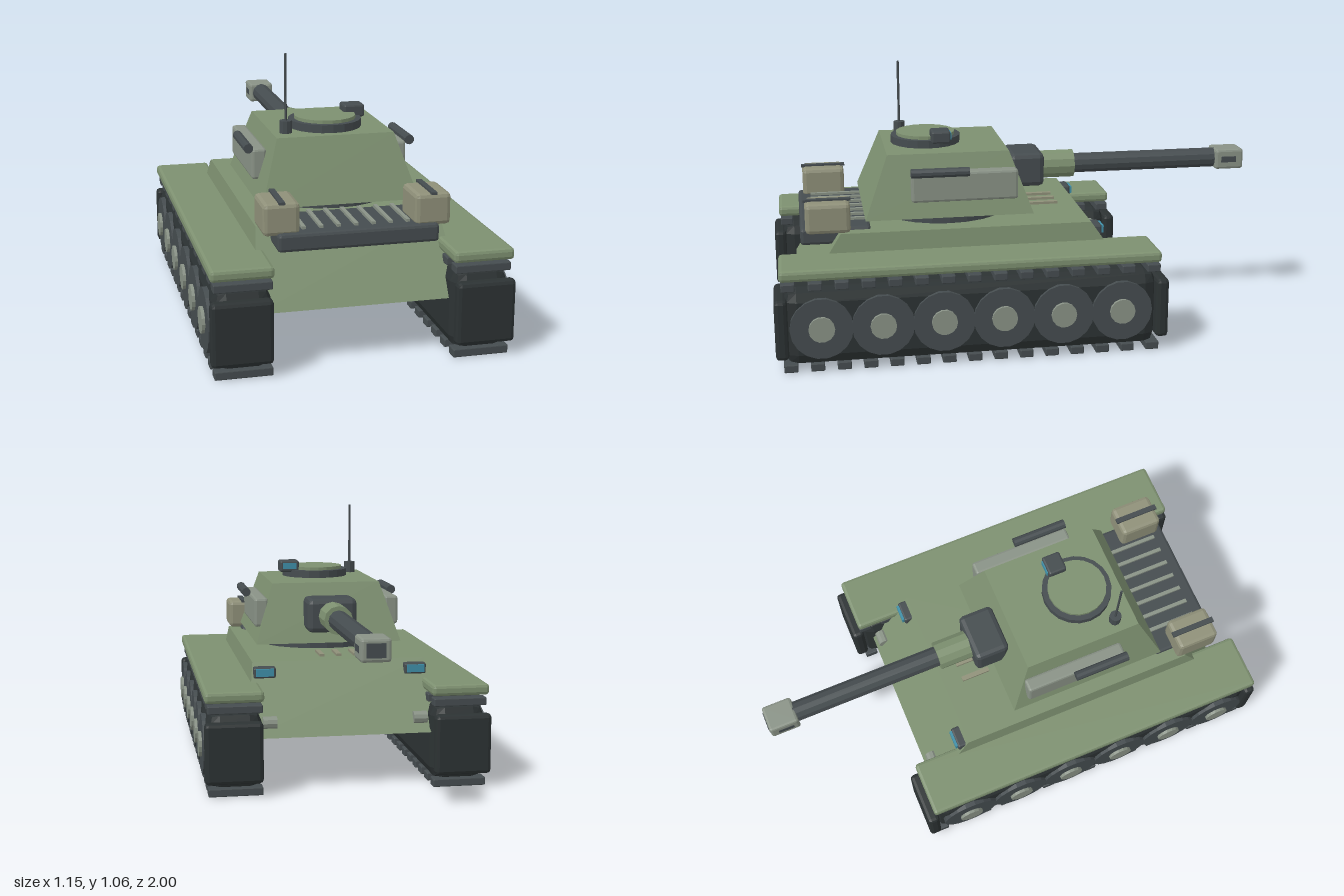
import * as THREE from 'three';
import { RoundedBoxGeometry } from 'three/addons/geometries/RoundedBoxGeometry.js';

const paint = (color) => new THREE.MeshStandardMaterial({ color, flatShading: true });

export function createModel() {
  const model = new THREE.Group();
  const green = paint(0x7d9070), dark = paint(0x454c4f), rubber = paint(0x2c3233);
  const grey = paint(0x899286), beige = paint(0x8f9079), glass = paint(0x3f8fa8);

  const add = (name, geometry, material, x, y, z, parent = model) => {
    const mesh = new THREE.Mesh(geometry, material);
    mesh.name = name;
    mesh.position.set(x, y, z);
    parent.add(mesh);
    return mesh;
  };
  // Box with chamfered edges, c = chamfer size
  const block = (w, h, d, c) => new RoundedBoxGeometry(w, h, d, 1, c);
  const rod = (r, length, sides, axis = 'y') => {
    const g = new THREE.CylinderGeometry(r, r, length, sides);
    if (axis === 'x') g.rotateZ(Math.PI / 2);
    if (axis === 'z') g.rotateX(Math.PI / 2);
    return g;
  };
  // Box whose top and bottom have their own half width and z range
  const frustum = (bottom, top) => {
    const g = new THREE.BoxGeometry(1, 1, 1);
    const p = g.attributes.position;
    for (let i = 0; i < p.count; i++) {
      const s = p.getY(i) > 0 ? top : bottom;
      p.setXYZ(i, Math.sign(p.getX(i)) * s.x, s.y, p.getZ(i) > 0 ? s.z1 : s.z0);
    }
    g.computeVertexNormals();
    return g;
  };

  // Hull
  add('hull', frustum({ x: 0.39, y: 0.215, z0: -0.45, z1: 0.905 },
    { x: 0.35, y: 0.485, z0: -0.265, z1: 0.73 }), green, 0, 0, 0);
  add('engineDeck', block(0.6, 0.068, 0.275, 0.012), dark, 0, 0.463, 0.7475);
  for (let i = -3; i <= 3; i++) {
    add('engineGrille', new THREE.BoxGeometry(0.015, 0.016, 0.21), grey, i * 0.065, 0.499, 0.73);
  }
  for (let i = 0; i < 3; i++) {
    add('deckVent', new THREE.BoxGeometry(0.02, 0.014, 0.12), beige, -0.085 + i * 0.07, 0.488, -0.125);
  }

  // Running gear and fittings, mirrored on both sides
  for (const s of [-1, 1]) {
    const track = new THREE.Group();
    track.name = s > 0 ? 'leftTrack' : 'rightTrack';
    model.add(track);
    const x = s * 0.4425;
    add('trackCore', block(0.215, 0.31, 1.45, 0.05), rubber, x, 0.178, 0.235, track);
    for (const z of [0.97, -0.51]) {
      add('trackEnd', block(0.225, 0.24, 0.05, 0.015), rubber, s * 0.45, 0.178, z, track);
    }
    for (let i = 0; i < 15; i++) {
      for (const y of [0.02, 0.343]) {
        add('trackLink', block(0.212, 0.032, 0.053, 0.004), dark, x, y, 0.94 - i * 0.101, track);
      }
    }
    for (let i = 0; i < 6; i++) {
      const z = 0.82 - i * 0.233;
      add('wheel', rod(0.12, 0.06, 18, 'x'), dark, s * 0.533, 0.18, z, track);
      add('wheelHub', rod(0.05, 0.04, 14, 'x'), grey, s * 0.555, 0.18, z, track);
    }
    add('fender', block(0.23, 0.044, 1.475, 0.013), green, s * 0.445, 0.39, 0.235);

    add('headlight', block(0.09, 0.045, 0.05, 0.008), dark, s * 0.305, 0.447, -0.285);
    add('headlightLens', new THREE.BoxGeometry(0.07, 0.03, 0.014), glass, s * 0.305, 0.449, -0.312);
    add('towHook', rod(0.025, 0.055, 10, 'x'), grey, s * 0.3, 0.27, -0.415);

    add('rearStowageBox', block(0.135, 0.12, 0.175, 0.016), beige, s * 0.282, 0.545, 0.777);
    add('stowageStrap', new THREE.BoxGeometry(0.022, 0.01, 0.185), dark, s * 0.282, 0.607, 0.777);

    add('turretSideBox', block(0.057, 0.12, 0.425, 0.01), grey, s * 0.278, 0.642, 0.235);
    add('sideTube', rod(0.019, 0.23, 10, 'z'), dark, s * 0.32, 0.706, 0.335);
  }

  // Turret
  const turret = new THREE.Group();
  turret.name = 'turret';
  model.add(turret);
  add('turretRing', rod(0.275, 0.05, 24), dark, 0, 0.5, 0.295, turret);
  add('turretBody', frustum({ x: 0.305, y: 0.518, z0: -0.04, z1: 0.63 },
    { x: 0.228, y: 0.762, z0: 0.048, z1: 0.535 }), green, 0, 0, 0, turret);
  add('hatchRing', rod(0.142, 0.034, 20), dark, 0, 0.776, 0.36, turret);
  add('hatchLid', rod(0.12, 0.02, 20), green, 0, 0.796, 0.36, turret);
  add('periscope', block(0.084, 0.05, 0.077, 0.008), dark, 0.123, 0.809, 0.312, turret);
  add('periscopeLens', new THREE.BoxGeometry(0.058, 0.026, 0.008), glass, 0.123, 0.811, 0.273, turret);
  add('antennaBase', rod(0.024, 0.05, 10), dark, -0.176, 0.785, 0.452, turret);
  add('antenna', rod(0.005, 0.26, 6), dark, -0.176, 0.937, 0.452, turret);

  // Gun
  const gun = new THREE.Group();
  gun.name = 'gun';
  gun.position.y = 0.642;
  model.add(gun);
  add('mantlet', block(0.205, 0.14, 0.145, 0.02), dark, 0, 0, -0.05, gun);
  add('barrelSleeve', rod(0.059, 0.15, 12, 'z'), green, 0, 0, -0.185, gun);
  add('barrel', rod(0.042, 0.68, 12, 'z'), dark, 0, 0, -0.56, gun);
  add('muzzleBrake', block(0.11, 0.085, 0.122, 0.01), grey, 0, 0, -0.936, gun);
  add('muzzleSlot', new THREE.BoxGeometry(0.113, 0.025, 0.065), dark, 0, 0, -0.932, gun);
  add('muzzleBore', new THREE.BoxGeometry(0.07, 0.052, 0.012), dark, 0, 0, -0.994, gun);

  return model;
}
